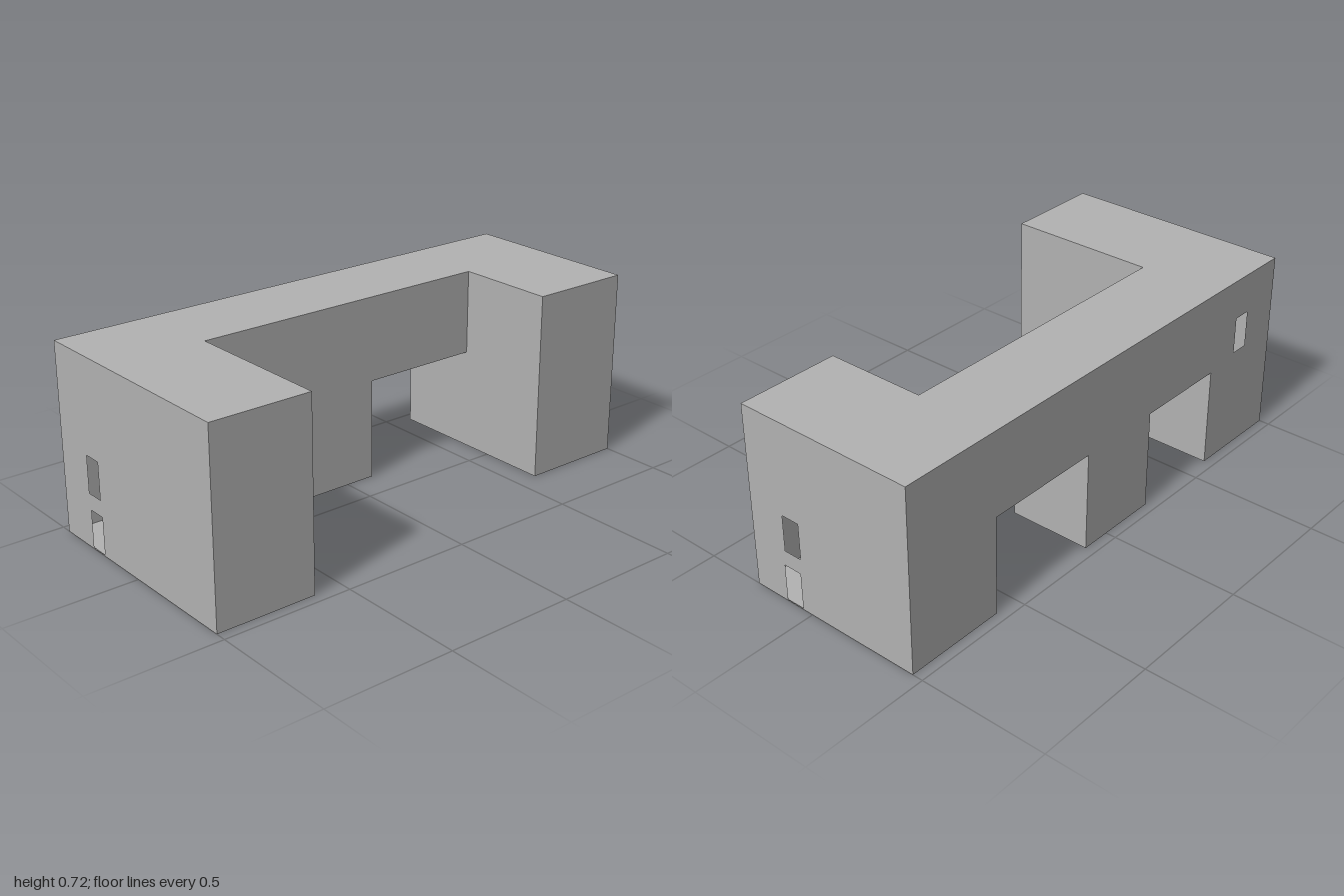
import * as THREE from 'three';

// Hollow, thin-walled building: two wings, a bridge and a central pier.
const H = 0.718, UNDER = 0.39;                 // roof height, bridge underside
const BACK = -0.459, MID = -0.13;              // back wall, bridge front wall
const L = -1, LI = -0.613, R = 1, RI = 0.595;  // wing outer and inner walls
const LF = 0.459, RF = 0.264;                  // wing front walls
const PL = -0.235, PR = 0.118;                 // pier side walls

const rect = (a, b, c, d) => [[a, b], [c, b], [c, d], [a, d]];

export function createModel() {
  const model = new THREE.Group();
  model.name = 'building';
  const grey = new THREE.MeshStandardMaterial({ color: 0xb2b2b2, side: THREE.DoubleSide });
  grey.name = 'concrete grey';

  // In-plane coordinates: x walls use (z, y), y slabs use (x, z), z walls use (x, y).
  const place = {
    x: (u, v, at) => [at, v, u],
    y: (u, v, at) => [u, at, v],
    z: (u, v, at) => [u, v, at],
  };

  // Flat panel at a given position, facing along +axis or -axis, with openings.
  function panel(parent, name, axis, facing, at, outline, openings = []) {
    const toPoints = (list) => list.map(([u, v]) => new THREE.Vector2(u, v));
    const shape = new THREE.Shape(toPoints(outline));
    for (const o of openings) shape.holes.push(new THREE.Path(toPoints(rect(...o))));
    const geo = new THREE.ShapeGeometry(shape);
    const pos = geo.attributes.position;
    for (let i = 0; i < pos.count; i++) {
      pos.setXYZ(i, ...place[axis](pos.getX(i), pos.getY(i), at));
    }
    const natural = axis === 'z' ? 1 : -1;
    if (natural !== facing) {
      const idx = geo.index.array;
      for (let i = 0; i < idx.length; i += 3) [idx[i], idx[i + 1]] = [idx[i + 1], idx[i]];
    }
    geo.computeVertexNormals();
    const mesh = new THREE.Mesh(geo, grey);
    mesh.name = name;
    parent.add(mesh);
  }

  function group(name) {
    const g = new THREE.Group();
    g.name = name;
    model.add(g);
    return g;
  }

  // Shared roof and back wall
  panel(model, 'roof', 'y', 1, H,
    [[L, BACK], [R, BACK], [R, RF], [RI, RF], [RI, MID], [LI, MID], [LI, LF], [L, LF]]);
  panel(model, 'backWall', 'z', -1, BACK,
    [[L, 0], [LI, 0], [LI, UNDER], [PL, UNDER], [PL, 0], [PR, 0], [PR, UNDER],
      [RI, UNDER], [RI, 0], [R, 0], [R, H], [L, H]],
    [[-0.832, 0.414, -0.76, 0.558]]);

  // Wings: outer wall with a window over a doorway, inner wall, front and floor
  const wings = [
    { name: 'rightWing', side: -1, outer: L, inner: LI, front: LF,
      openings: [[-0.292, 0.21, -0.22, 0.352], [-0.286, 0.005, -0.214, 0.148]] },
    { name: 'leftWing', side: 1, outer: R, inner: RI, front: RF,
      openings: [[0.037, 0.21, 0.111, 0.352], [0.044, 0.005, 0.118, 0.148]] },
  ];
  for (const w of wings) {
    const g = group(w.name);
    panel(g, 'outerWall', 'x', w.side, w.outer, rect(BACK, 0, w.front, H), w.openings);
    panel(g, 'innerWall', 'x', -w.side, w.inner,
      [[BACK, 0], [w.front, 0], [w.front, H], [MID, H], [MID, UNDER], [BACK, UNDER]]);
    panel(g, 'frontWall', 'z', 1, w.front, rect(w.outer, 0, w.inner, H));
    panel(g, 'floor', 'y', -1, 0, rect(w.outer, BACK, w.inner, w.front));
  }

  // Bridge: front wall continuing into the pier, and undersides
  const bridge = group('bridge');
  panel(bridge, 'frontWall', 'z', 1, MID,
    [[LI, UNDER], [PL, UNDER], [PL, 0], [PR, 0], [PR, UNDER], [RI, UNDER], [RI, H], [LI, H]]);
  panel(bridge, 'rightUnderside', 'y', -1, UNDER, rect(LI, BACK, PL, MID));
  panel(bridge, 'leftUnderside', 'y', -1, UNDER, rect(PR, BACK, RI, MID));

  // Central pier with one doorway
  const pier = group('pier');
  panel(pier, 'doorWall', 'x', -1, PL, rect(BACK, 0, MID, UNDER), [[-0.372, 0.005, -0.3, 0.148]]);
  panel(pier, 'plainWall', 'x', 1, PR, rect(BACK, 0, MID, UNDER));
  panel(pier, 'floor', 'y', -1, 0, rect(PL, BACK, PR, MID));

  return model;
}
